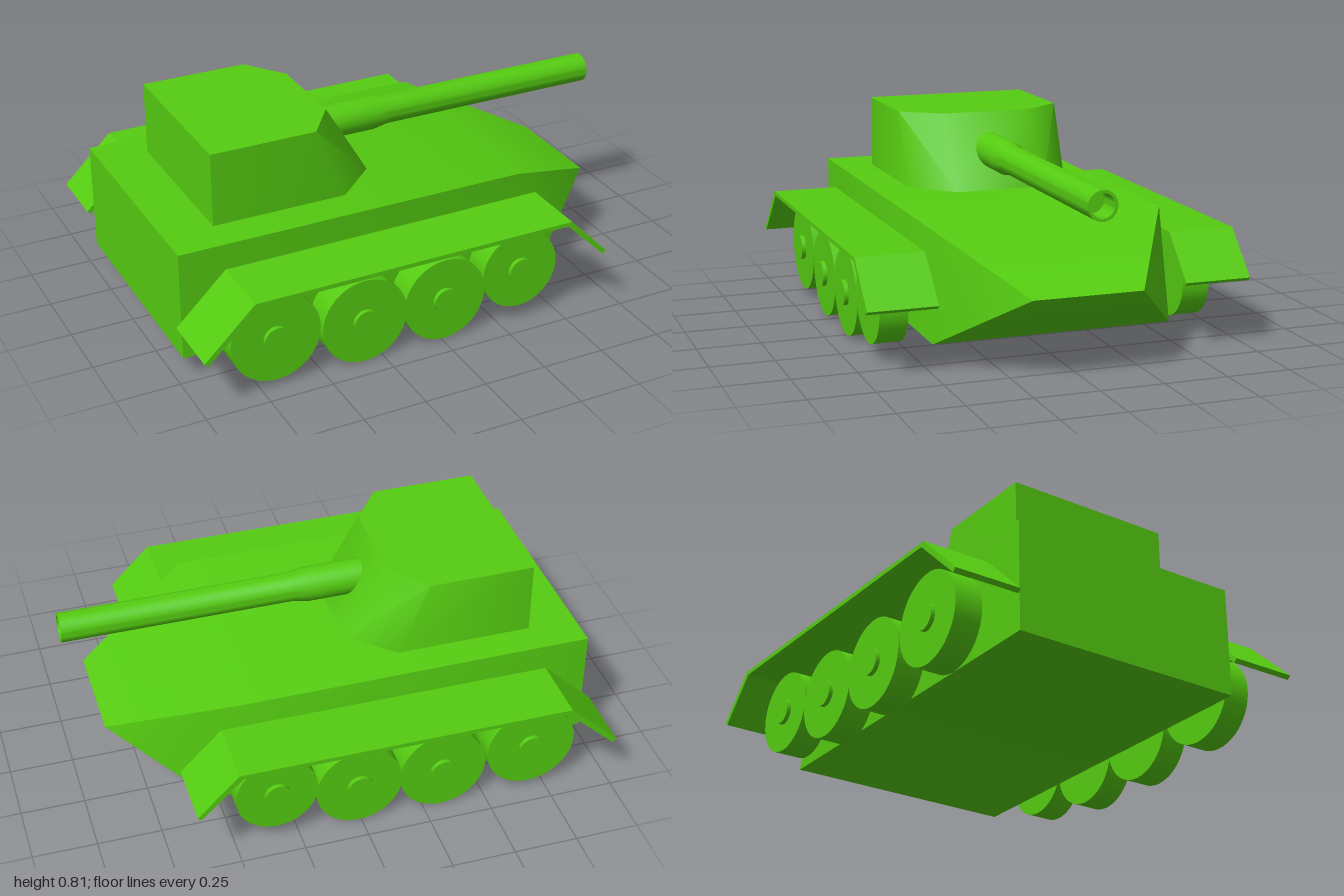
import * as THREE from 'three';
import { toCreasedNormals } from 'three/addons/utils/BufferGeometryUtils.js';
import { ConvexGeometry } from 'three/addons/geometries/ConvexGeometry.js';

const green = new THREE.MeshStandardMaterial({ color: 0x55cc11 });

function addMesh(parent, name, geometry) {
  const mesh = new THREE.Mesh(geometry, green);
  mesh.name = name;
  parent.add(mesh);
  return mesh;
}

// Convex solid from [x, y, halfWidth] points, mirrored across z
function mirroredSolid(points, crease) {
  const corners = points.flatMap(([x, y, z]) => [
    new THREE.Vector3(x, y, z), new THREE.Vector3(x, y, -z),
  ]);
  return toCreasedNormals(new ConvexGeometry(corners), crease);
}

// One running gear side: bent fender and four wheels with hubs (outside faces +z)
function createTrackSide() {
  const side = new THREE.Group();

  const profile = new THREE.Shape([
    [-1, 0.235], [-0.985, 0.222], [-0.785, 0.41], [0.485, 0.415], [0.648, 0.255],
    [0.662, 0.268], [0.5, 0.432], [-0.8, 0.427],
  ].map(([x, y]) => new THREE.Vector2(x, y)));
  const fender = new THREE.ExtrudeGeometry(profile, { depth: 0.267, bevelEnabled: false });
  addMesh(side, 'fender', fender).position.z = 0.488;

  const wheels = [[-0.685, 0.203, 0.178], [-0.325, 0.173, 0.173], [0.01, 0.175, 0.17], [0.335, 0.22, 0.16]];
  for (const [x, y, r] of wheels) {
    const wheel = new THREE.Group();
    wheel.name = 'wheel';
    wheel.position.set(x, y, 0);
    const tyre = new THREE.CylinderGeometry(r, r, 0.11, 48).rotateX(Math.PI / 2);
    addMesh(wheel, 'tyre', tyre).position.z = 0.608;
    const hub = new THREE.CylinderGeometry(0.05, 0.05, 0.03, 32).rotateX(Math.PI / 2);
    addMesh(wheel, 'hub', hub).position.z = 0.665;
    side.add(wheel);
  }
  return side;
}

export function createModel() {
  const tank = new THREE.Group();
  tank.name = 'tank';

  // Hull with a nose narrowing to a horizontal edge
  addMesh(tank, 'hull', mirroredSolid([
    [-0.975, 0.09, 0.475], [-0.975, 0.522, 0.475],
    [0.43, 0.522, 0.475], [0.54, 0.09, 0.475], [0.89, 0.32, 0.213],
  ], 0.8));

  // Turret with sloped front and chamfered cheeks
  addMesh(tank, 'turret', mirroredSolid([
    [-0.78, 0.515, 0.338], [-0.78, 0.813, 0.338],
    [-0.36, 0.813, 0.338], [-0.245, 0.813, 0.18],
    [-0.24, 0.515, 0.338], [-0.07, 0.515, 0.18],
  ], 0.8)).position.z = -0.008;

  // Stepped barrel with a hollow muzzle, turned around x
  const barrelProfile = [
    [0, -0.3], [0.068, -0.3], [0.068, 0.03], [0.057, 0.09],
    [0.057, 1], [0.045, 1], [0.045, 0.9], [0, 0.9],
  ].map(([r, x]) => new THREE.Vector2(r, x));
  const barrel = toCreasedNormals(new THREE.LatheGeometry(barrelProfile, 40), 0.6);
  addMesh(tank, 'gunBarrel', barrel.rotateZ(-Math.PI / 2)).position.set(0, 0.667, -0.003);

  // Running gear on both sides; each wheel set is rebuilt with mirrored z offsets
  const near = createTrackSide();
  near.name = 'runningGearNear';
  const far = createTrackSide();
  far.name = 'runningGearFar';
  far.scale.z = -1;
  tank.add(near, far);

  return tank;
}
